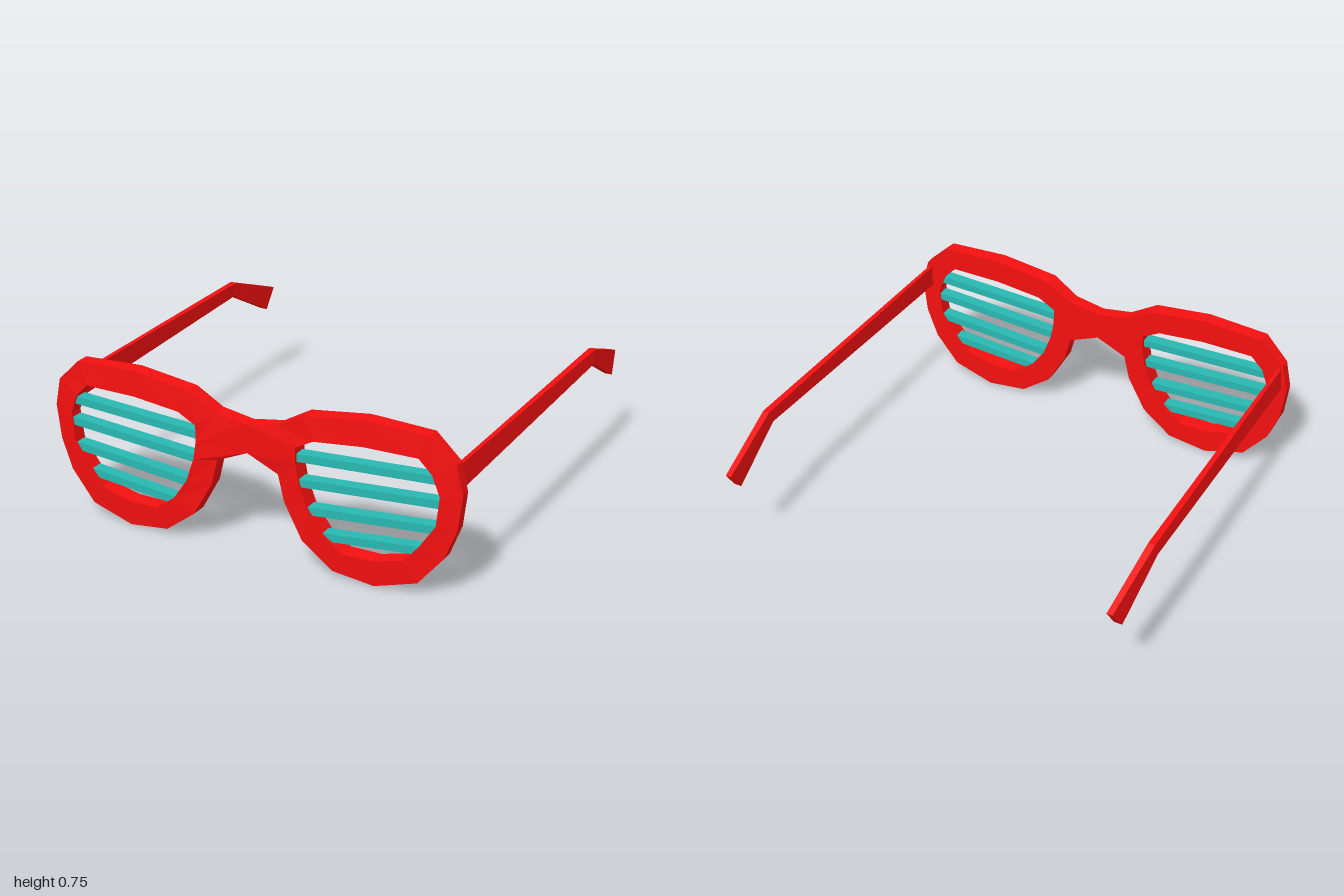
import * as THREE from 'three';

const red = new THREE.MeshStandardMaterial({ color: 0xf51010, flatShading: true });
const teal = new THREE.MeshStandardMaterial({ color: 0x28b8b2, flatShading: true });

// Piecewise-linear interpolation through [input, output] pairs in ascending order
function lerpTable(table, t) {
  for (let i = 1; i < table.length; i++) {
    const [a, va] = table[i - 1], [b, vb] = table[i];
    if (t <= b) return va + (vb - va) * Math.max(0, (t - a) / (b - a));
  }
  return table[table.length - 1][1];
}

// Half outline from the top of the bridge, around one rim, to the underside of the bridge
const outline = [
  [0, 0.615], [0.15, 0.64], [0.28, 0.715], [0.56, 0.753], [0.855, 0.74], [0.97, 0.63],
  [1, 0.5], [0.98, 0.34], [0.925, 0.2], [0.81, 0.062], [0.61, 0], [0.415, 0.025],
  [0.27, 0.135], [0.18, 0.295], [0.15, 0.415], [0, 0.48],
];
// Lens opening, one point for each outline segment
const opening = [
  [0.245, 0.565], [0.33, 0.612], [0.56, 0.635], [0.81, 0.635], [0.87, 0.575], [0.905, 0.48],
  [0.89, 0.345], [0.82, 0.24], [0.75, 0.157], [0.61, 0.12], [0.465, 0.12], [0.37, 0.19],
  [0.3, 0.29], [0.26, 0.4], [0.245, 0.49],
];
// Front surface depth across the width: thinner at the bridge and outer ends
const frontDepth = [[0, 0.913], [0.15, 0.915], [0.27, 0.928], [0.87, 0.914], [1, 0.897]];
const BACK = 0.85;

// One half of the frame: front and back bands around the opening, outer wall and inner wall
function makeFrameHalf(side) {
  const positions = [];
  const addFace = (...corners) => {
    const ordered = side > 0 ? corners : corners.reverse();
    for (let i = 2; i < ordered.length; i++) {
      for (const [x, y, z] of [ordered[0], ordered[i - 1], ordered[i]]) positions.push(side * x, y, z);
    }
  };
  // The rim swells slightly toward the lens opening
  const toFront = (points, swell) => points.map(([x, y]) => [x, y, lerpTable(frontDepth, x) + swell]);
  const toBack = (points) => points.map(([x, y]) => [x, y, BACK]);
  const outF = toFront(outline, 0), inF = toFront(opening, 0.007);
  const outB = toBack(outline), inB = toBack(opening);
  const n = opening.length;
  for (let i = 0; i < n; i++) {
    const prev = (i + n - 1) % n;
    addFace(outF[i], inF[prev], inF[i], outF[i + 1]);
    addFace(outB[i + 1], inB[i], inB[prev], outB[i]);
    addFace(outF[i], outF[i + 1], outB[i + 1], outB[i]);
    addFace(inF[i], inF[prev], inB[prev], inB[i]);
  }
  // Middle of the bridge
  addFace(outF[0], outF[n], inF[n - 1]);
  addFace(outB[0], inB[n - 1], outB[n]);

  const geometry = new THREE.BufferGeometry();
  geometry.setAttribute('position', new THREE.Float32BufferAttribute(positions, 3));
  geometry.computeVertexNormals();
  const mesh = new THREE.Mesh(geometry, red);
  mesh.name = side > 0 ? 'leftFrame' : 'rightFrame';
  return mesh;
}

// Side profile of a temple arm as [z, y], with its inner and outer x along z
const armProfile = [[0.86, 0.61], [0.86, 0.5], [-0.565, 0.545], [-0.865, 0.38], [-0.935, 0.48], [-0.59, 0.61]];
const armInner = [[-0.935, 0.937], [-0.59, 0.956], [0.86, 0.945]];
const armOuter = [[-0.935, 0.954], [-0.865, 0.96], [-0.59, 0.988], [0.86, 0.962]];

function makeArm(side) {
  const shape = new THREE.Shape(armProfile.map(([z, y]) => new THREE.Vector2(-z, y)));
  const geometry = new THREE.ExtrudeGeometry(shape, { depth: 1, bevelEnabled: false });
  const p = geometry.attributes.position;
  for (let i = 0; i < p.count; i++) {
    const y = p.getY(i), z = -p.getX(i);
    const isOuter = (p.getZ(i) > 0.5) === (side > 0);
    // The outer face leans outward toward its lower edge
    const x = isOuter ? lerpTable(armOuter, z) + 0.08 * (0.61 - y) : lerpTable(armInner, z);
    p.setXYZ(i, side * x, y, z);
  }
  geometry.computeVertexNormals();
  const mesh = new THREE.Mesh(geometry, red);
  mesh.name = side > 0 ? 'leftArm' : 'rightArm';
  return mesh;
}

// Shutter slats as [inner x, inner y, outer x, outer y], ends tucked into the rim
const slats = [
  [0.225, 0.515, 0.905, 0.549],
  [0.235, 0.4, 0.92, 0.444],
  [0.275, 0.278, 0.9, 0.325],
  [0.355, 0.173, 0.825, 0.212],
];

function makeSlats(side) {
  const group = new THREE.Group();
  group.name = side > 0 ? 'leftSlats' : 'rightSlats';
  for (const [x0, y0, x1, y1] of slats) {
    const a = new THREE.Vector3(side * x0, y0, 0.895);
    const b = new THREE.Vector3(side * x1, y1, 0.882);
    const mesh = new THREE.Mesh(new THREE.BoxGeometry(a.distanceTo(b), 0.037, 0.056), teal);
    mesh.position.copy(a).lerp(b, 0.5);
    const along = b.sub(a).multiplyScalar(side).normalize();
    mesh.quaternion.setFromUnitVectors(new THREE.Vector3(1, 0, 0), along);
    mesh.name = 'slat';
    group.add(mesh);
  }
  return group;
}

export function createModel() {
  const model = new THREE.Group();
  model.name = 'shutterGlasses';
  for (const side of [1, -1]) model.add(makeFrameHalf(side), makeArm(side), makeSlats(side));
  return model;
}
